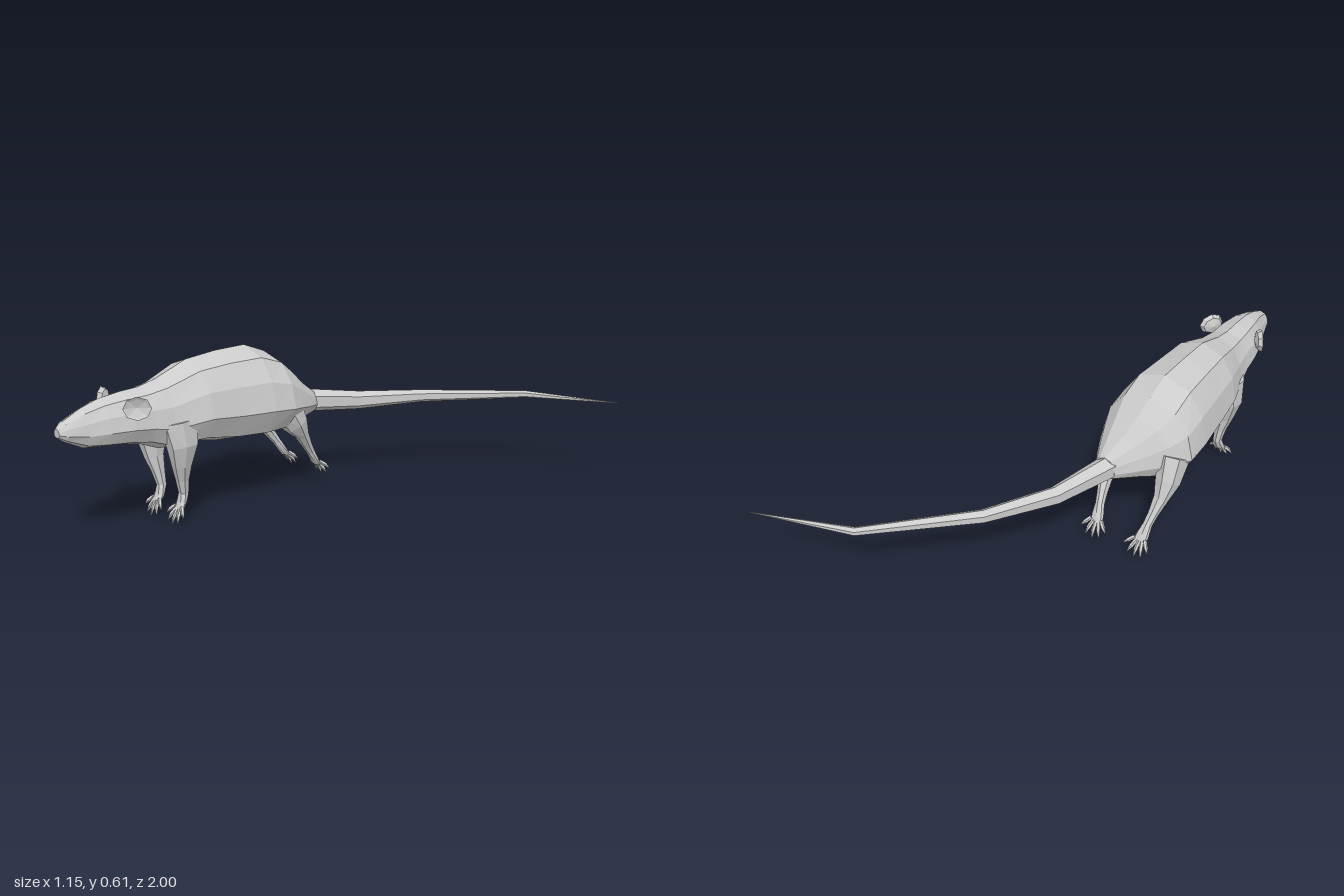
import * as THREE from 'three';

const CX = -0.395; // body axis
const material = new THREE.MeshStandardMaterial({ color: 0xcccccc, flatShading: true });

// Skin a row of equal rings and close both ends
function loft(name, rings) {
  const n = rings[0].length, pos = [], index = [];
  rings.forEach(r => r.forEach(p => pos.push(p.x, p.y, p.z)));
  for (let i = 0; i < rings.length - 1; i++) {
    for (let j = 0; j < n; j++) {
      const k = (j + 1) % n, a = i * n + j, b = i * n + k;
      index.push(a, b, a + n, b, b + n, a + n);
    }
  }
  const addCap = (ring, base, flip) => {
    const c = ring.reduce((s, p) => s.add(p), new THREE.Vector3()).divideScalar(n);
    const ci = pos.length / 3;
    pos.push(c.x, c.y, c.z);
    for (let j = 0; j < n; j++) {
      const a = base + j, b = base + (j + 1) % n;
      index.push(ci, flip ? b : a, flip ? a : b);
    }
  };
  addCap(rings[0], 0, true);
  addCap(rings[rings.length - 1], (rings.length - 1) * n, false);
  const geo = new THREE.BufferGeometry();
  geo.setAttribute('position', new THREE.Float32BufferAttribute(pos, 3));
  geo.setIndex(index);
  geo.computeVertexNormals();
  const mesh = new THREE.Mesh(geo, material);
  mesh.name = name;
  return mesh;
}

// Tapered limb along points [x, y, z, half width, half depth]
function limb(name, path, sides, ref) {
  const c = path.map(p => new THREE.Vector3(p[0], p[1], p[2]));
  return loft(name, path.map((p, i) => {
    const dir = c[Math.min(i + 1, c.length - 1)].clone().sub(c[Math.max(i - 1, 0)]).normalize();
    const v = dir.clone().cross(ref).normalize(), u = v.clone().cross(dir);
    return Array.from({ length: sides }, (_, j) => {
      const a = j / sides * Math.PI * 2;
      return c[i].clone().addScaledVector(v, Math.sin(a) * p[3]).addScaledVector(u, Math.cos(a) * p[4]);
    });
  }));
}

// Body and head: [z, top, bottom, half width, sideways shift]
function makeBody() {
  const half = [[0, 1], [0.56, 0.9], [0.87, 0.66], [1, 0.36], [0.74, 0.11], [0, 0]];
  const section = [...half, ...half.slice(1, 5).reverse().map(([x, y]) => [-x, y])];
  const stations = [
    [1.0, 0.445, 0.412, 0.018, 0], [0.975, 0.466, 0.393, 0.038, 0], [0.9, 0.5, 0.355, 0.056, 0],
    [0.83, 0.52, 0.345, 0.08, 0], [0.74, 0.53, 0.335, 0.098, 0], [0.66, 0.533, 0.318, 0.104, 0],
    [0.58, 0.55, 0.285, 0.118, 0], [0.44, 0.6, 0.285, 0.158, 0], [0.3, 0.612, 0.258, 0.17, 0],
    [0.16, 0.614, 0.248, 0.186, 0.004], [0.06, 0.575, 0.256, 0.186, 0.006], [0, 0.52, 0.272, 0.15, 0.02],
    [-0.06, 0.455, 0.29, 0.1, 0.045], [-0.13, 0.397, 0.305, 0.042, 0.07]];
  return loft('bodyAndHead', stations.map(([z, top, bottom, w, shift]) =>
    section.map(([x, y]) => new THREE.Vector3(CX + shift + x * w, bottom + y * (top - bottom), z))));
}

// Leg with a flat foot and five splayed toes; tips are [x, y, z]
function makeLeg(name, side, path, tips, ref) {
  const group = new THREE.Group();
  group.name = name;
  const place = ([x, ...rest]) => [CX + side * x, ...rest];
  group.add(limb('legAndFoot', path.map(place), 7, ref));
  const [fx, fy, fz, fw] = path[path.length - 1];
  tips.forEach(([x, y, z], i) => {
    const t = (i - 2) / 2, outer = Math.abs(t) === 1;
    const rx = fx + t * fw * 0.8, ry = fy + (outer ? 0.012 : 0.004);
    const toe = [
      [rx, ry, fz, 0.008, 0.008],
      [rx + (x - rx) * 0.55, ry + (y - ry) * 0.5, fz + (z - fz) * 0.65, 0.008, 0.008],
      [x, y, z, 0.002, 0.002]];
    group.add(limb('toe', toe.map(place), 5, ref));
  });
  return group;
}

// Dished ear facing outward and forward
function makeEar(side) {
  const profile = [[0, -0.014], [0.036, -0.004], [0.046, 0.012], [0.034, 0.006], [0, -0.004]]
    .map(([x, y]) => new THREE.Vector2(x, y));
  const geo = new THREE.LatheGeometry(profile, 8);
  geo.scale(1.1, 1, 0.95);
  geo.rotateX(Math.PI / 2);
  geo.rotateY(side * 0.95);
  geo.translate(CX + side * 0.1, 0.487, 0.735);
  const ear = new THREE.Mesh(geo, material);
  ear.name = side > 0 ? 'leftEar' : 'rightEar';
  return ear;
}

export function createModel() {
  const model = new THREE.Group();
  model.name = 'rat';
  const up = new THREE.Vector3(0, 1, 0), back = new THREE.Vector3(0, 0, -1);
  model.add(makeBody());

  // Long tail sweeping to the left
  model.add(limb('tail', [
    [-0.35, 0.355, -0.04, 0.05, 0.055], [-0.325, 0.35, -0.13, 0.042, 0.046],
    [-0.245, 0.328, -0.33, 0.03, 0.038], [-0.1, 0.33, -0.56, 0.024, 0.026],
    [0.21, 0.336, -0.868, 0.016, 0.015], [0.575, 0.339, -1, 0.001, 0.001]], 6, up));

  const frontLeg = [
    [0.085, 0.4, 0.545, 0.05, 0.085], [0.095, 0.31, 0.54, 0.046, 0.066], [0.085, 0.23, 0.54, 0.031, 0.042],
    [0.074, 0.17, 0.532, 0.022, 0.028], [0.068, 0.115, 0.525, 0.018, 0.02],
    [0.068, 0.08, 0.538, 0.026, 0.014], [0.069, 0.056, 0.552, 0.027, 0.009]];
  const frontTips = [[0.018, 0.036, 0.568], [0.037, 0.014, 0.578], [0.065, 0.006, 0.582],
    [0.093, 0.012, 0.578], [0.117, 0.036, 0.568]];
  const hindLeg = [
    [0.115, 0.37, 0.05, 0.055, 0.08], [0.12, 0.29, 0, 0.046, 0.056], [0.117, 0.235, -0.037, 0.029, 0.03],
    [0.108, 0.18, -0.075, 0.02, 0.021], [0.102, 0.145, -0.1, 0.018, 0.017],
    [0.097, 0.11, -0.122, 0.025, 0.013], [0.094, 0.086, -0.137, 0.027, 0.009]];
  const hindTips = [[0.04, 0.07, -0.16], [0.062, 0.045, -0.17], [0.09, 0.034, -0.172],
    [0.118, 0.043, -0.172], [0.142, 0.068, -0.165]];

  for (const side of [1, -1]) {
    const label = side > 0 ? 'left' : 'right';
    model.add(makeLeg(label + 'FrontLeg', side, frontLeg, frontTips, back));
    model.add(makeLeg(label + 'HindLeg', side, hindLeg, hindTips, back));
    model.add(makeEar(side));
  }
  return model;
}
